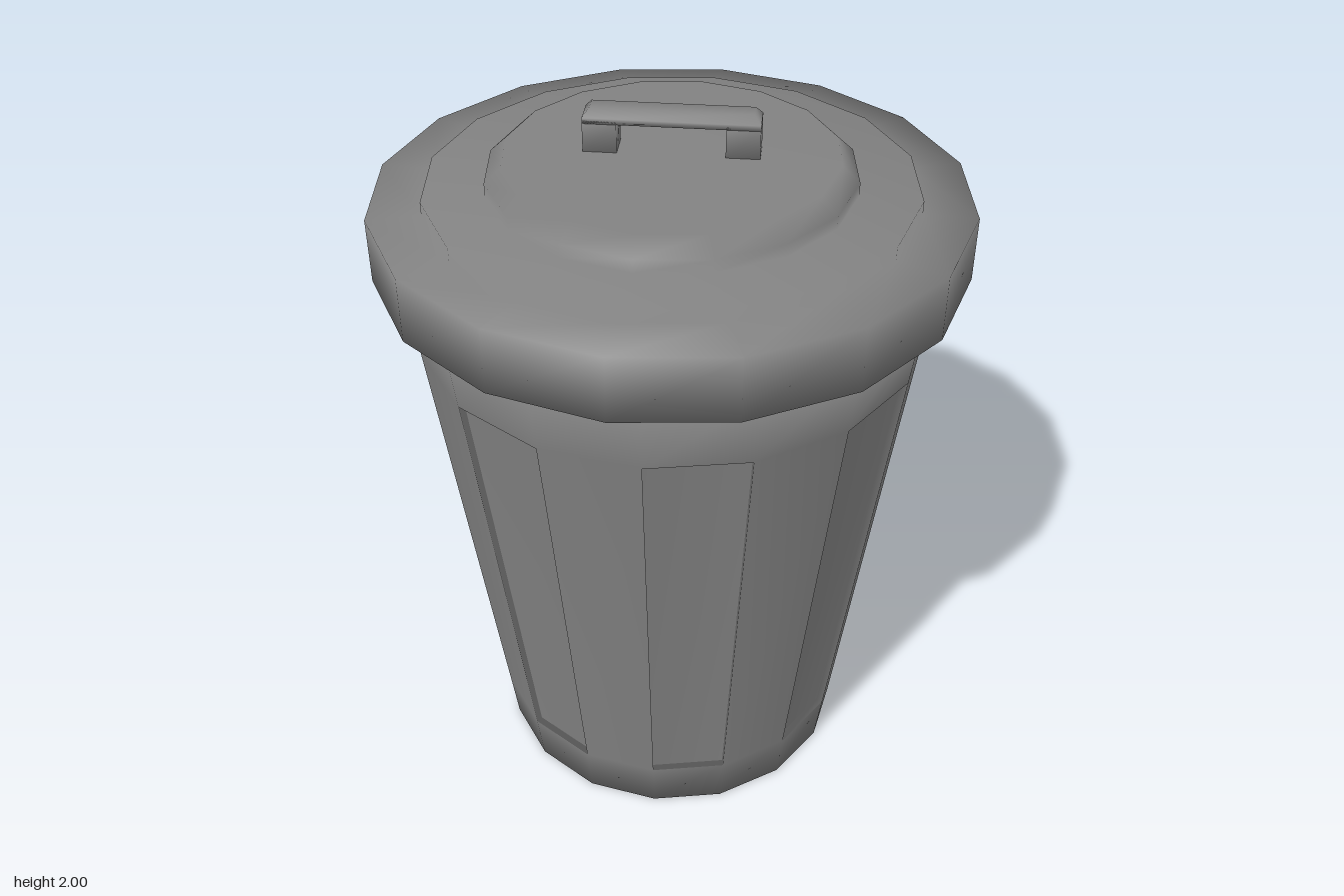
import * as THREE from 'three';

const SIDES = 16;
const STEP = (Math.PI * 2) / SIDES;
const material = new THREE.MeshStandardMaterial({ color: 0x828282 });

// Smooth mesh from shared corners; each polygon weighs on the normals by its area
function polygonGeometry(points, faces) {
  const normals = points.map(() => new THREE.Vector3());
  const index = [];
  for (const face of faces) {
    const area = new THREE.Vector3();
    face.forEach((v, k) => {
      const next = points[face[(k + 1) % face.length]];
      area.add(new THREE.Vector3().crossVectors(points[v], next));
    });
    face.forEach((v) => normals[v].add(area));
    for (let k = 1; k < face.length - 1; k++) index.push(face[0], face[k], face[k + 1]);
  }
  const geometry = new THREE.BufferGeometry().setFromPoints(points);
  const flat = normals.flatMap((n) => n.normalize().toArray());
  geometry.setAttribute('normal', new THREE.Float32BufferAttribute(flat, 3));
  geometry.setIndex(index);
  return geometry;
}

// Closed stack of horizontal rings, listed from bottom to top;
// recess(row, side) gives how deep a side face is pressed in
function loft(rings, recess = () => 0) {
  const points = rings.flat();
  const count = rings[0].length;
  const bottom = rings[0].map((_, i) => count - 1 - i);
  const top = rings[0].map((_, i) => (rings.length - 1) * count + i);
  const faces = [bottom, top];
  for (let j = 0; j < rings.length - 1; j++) {
    for (let i = 0; i < count; i++) {
      const a = j * count + i;
      const b = j * count + (i + 1) % count;
      const outer = [a, b, b + count, a + count];
      const depth = recess(j, i);
      if (!depth) {
        faces.push(outer);
        continue;
      }
      // panel floor and its four walls
      const inward = points[a].clone().add(points[b]).setY(0).setLength(-depth);
      const inner = outer.map((v) => points.push(points[v].clone().add(inward)) - 1);
      faces.push(inner);
      for (let k = 0; k < 4; k++) {
        const m = (k + 1) % 4;
        faces.push([outer[k], outer[m], inner[m], inner[k]]);
      }
    }
  }
  return polygonGeometry(points, faces);
}

const roundRing = (r, y, turn = 0) => Array.from({ length: SIDES }, (_, i) =>
  new THREE.Vector3(r * Math.sin(i * STEP + turn), y, r * Math.cos(i * STEP + turn)));

const boxRing = (x0, x1, halfDepth, y) =>
  [[x0, 1], [x1, 1], [x1, -1], [x0, -1]].map(([x, s]) => new THREE.Vector3(x, y, s * halfDepth));

export function createModel() {
  const group = new THREE.Group();
  group.name = 'trashCan';
  const addPart = (name, geometry, parent = group) => {
    const mesh = new THREE.Mesh(geometry, material);
    mesh.name = name;
    parent.add(mesh);
  };

  // Tapered bin with every other facet pressed inwards between two plain bands
  const bodyRings = [0, 0.15, 1.4, 1.6].map((y) => roundRing(0.508 + 0.127 * y, y));
  addPart('body', loft(bodyRings, (row, side) => (row === 1 && side % 2 === 0 ? 0.02 : 0)));

  // Stepped lid, turned slightly against the bin
  const turn = THREE.MathUtils.degToRad(-5);
  const lidSteps = [
    [0.783, 1.6], [0.783, 1.775], [0.642, 1.775], [0.642, 1.81],
    [0.48, 1.81], [0.48, 1.845], [0.435, 1.887],
  ];
  addPart('lid', loft(lidSteps.map(([r, y]) => roundRing(r, y, turn))));

  // Handle: chamfered grip on two posts
  const handle = new THREE.Group();
  handle.name = 'lidHandle';
  handle.position.z = -0.016;
  group.add(handle);
  addPart('grip', loft([
    boxRing(-0.225, 0.225, 0.04, 1.963),
    boxRing(-0.225, 0.225, 0.04, 1.978),
    boxRing(-0.207, 0.207, 0.022, 2),
  ]), handle);
  for (const x of [-0.1815, 0.1815]) {
    addPart('post', loft([1.88, 1.97].map((y) => boxRing(x - 0.0435, x + 0.0435, 0.04, y))), handle);
  }
  return group;
}
